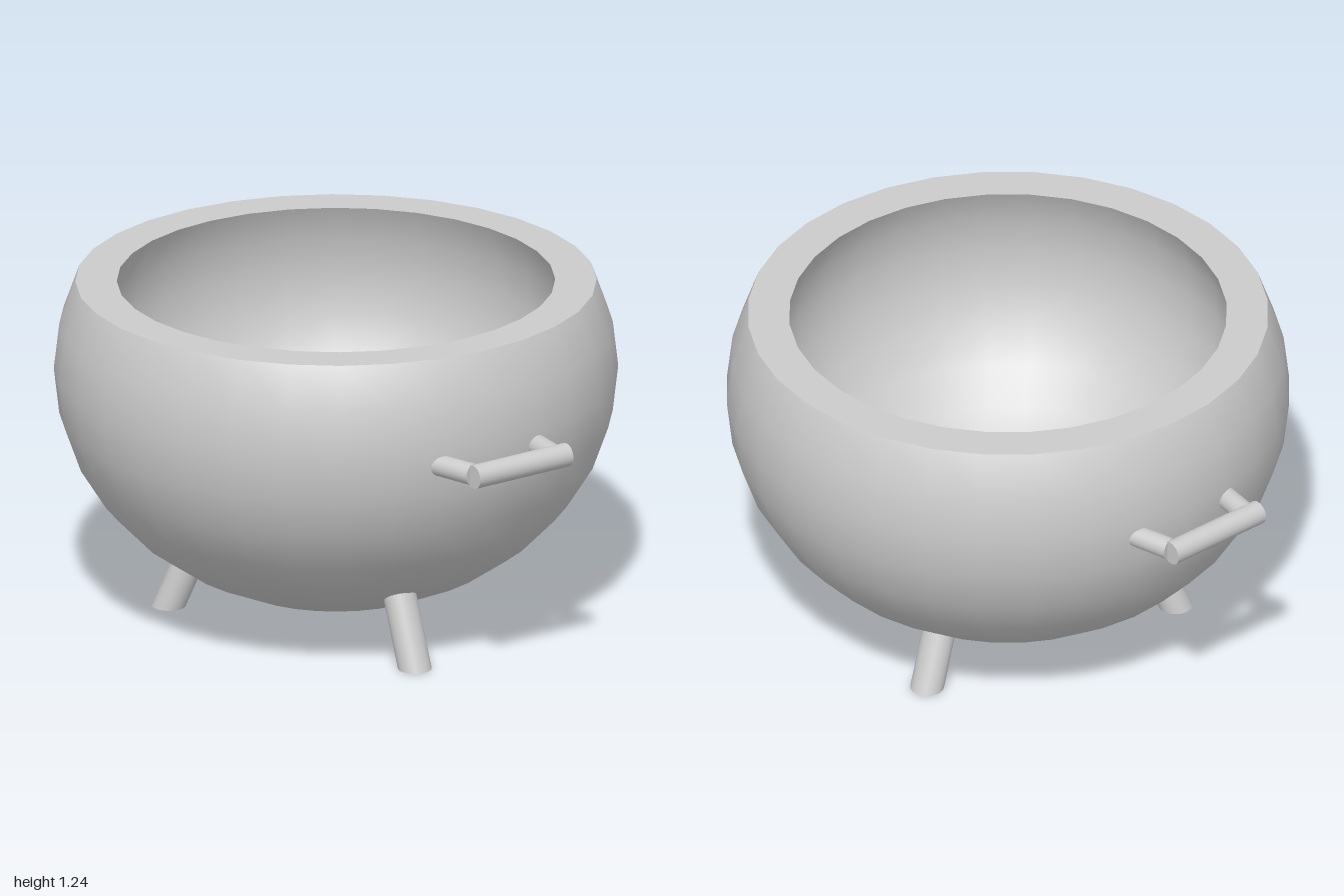
import * as THREE from 'three';

const SEGMENTS = 32;
const RIM_Y = 1.235;
const RIM_ANGLE = Math.PI / 8; // the rim lies this far above the widest ring
const INNER_SCALE = 0.841;

export function createModel() {
  const model = new THREE.Group();
  model.name = 'cauldron';
  const material = new THREE.MeshStandardMaterial({ color: 0xcccccc });

  const add = (name, geometry, parent = model) => {
    const mesh = new THREE.Mesh(geometry, material);
    mesh.name = name;
    parent.add(mesh);
    return mesh;
  };

  // Slightly squashed sphere, cut open at the rim height
  const shell = (scale) => {
    const start = Math.PI / 2 - RIM_ANGLE;
    const geometry = new THREE.SphereGeometry(1, SEGMENTS, 10, 0, Math.PI * 2, start, Math.PI - start);
    geometry.translate(0, -Math.sin(RIM_ANGLE), 0);
    geometry.scale(scale, 0.85 * scale, scale);
    geometry.translate(0, RIM_Y, 0);
    return geometry;
  };

  // Bowl: outer wall, flat rim and inner wall keep sharp edges between them
  const bowl = new THREE.Group();
  bowl.name = 'bowl';
  model.add(bowl);
  add('outerWall', shell(1), bowl);

  const innerWall = shell(INNER_SCALE);
  innerWall.index.array.reverse(); // faces look into the bowl
  const normals = innerWall.attributes.normal.array;
  for (let i = 0; i < normals.length; i++) normals[i] *= -1;
  add('innerWall', innerWall, bowl);

  const rimRadius = Math.cos(RIM_ANGLE);
  const rim = new THREE.RingGeometry(rimRadius * INNER_SCALE, rimRadius, SEGMENTS);
  rim.rotateX(-Math.PI / 2);
  add('rim', rim, bowl).position.y = RIM_Y;

  // Round rod between two points
  const rod = (name, from, to, radius, parent) => {
    const a = new THREE.Vector3(...from);
    const b = new THREE.Vector3(...to);
    const mesh = add(name, new THREE.CylinderGeometry(radius, radius, a.distanceTo(b), 24), parent);
    mesh.position.copy(a).add(b).multiplyScalar(0.5);
    mesh.quaternion.setFromUnitVectors(new THREE.Vector3(0, 1, 0), b.sub(a).normalize());
  };

  // Two handles on opposite sides: a bar on two splayed posts
  ['frontHandle', 'backHandle'].forEach((name, i) => {
    const handle = new THREE.Group();
    handle.name = name;
    handle.rotation.y = i * Math.PI;
    handle.position.set(-0.008 * i, 0.856, 0.015 * i);
    rod('handleBar', [0.664, 0, 0.93], [0.945, 0, 0.632], 0.043, handle);
    rod('handlePost', [0.66, 0, 0.902], [0.455, 0, 0.785], 0.039, handle);
    rod('handlePost', [0.906, 0, 0.65], [0.775, 0, 0.49], 0.039, handle);
    model.add(handle);
  });

  // Splayed legs, sheared so that the feet stay flat on the ground
  const legs = [
    { name: 'frontLeg', x: 0.389, z: 0.575, leanX: -0.27, leanZ: -0.27, height: 0.31 },
    { name: 'backLeg', x: 0.232, z: -0.553, leanX: -0.18, leanZ: 0.38, height: 0.26 },
    { name: 'sideLeg', x: -0.59, z: 0.065, leanX: 0.42, leanZ: 0, height: 0.26 },
  ];
  for (const { name, x, z, leanX, leanZ, height } of legs) {
    const geometry = new THREE.CylinderGeometry(0.06, 0.06, height, 24);
    geometry.translate(0, height / 2, 0);
    geometry.applyMatrix4(new THREE.Matrix4().makeShear(0, 0, leanX, leanZ, 0, 0));
    add(name, geometry).position.set(x, 0, z);
  }

  return model;
}
